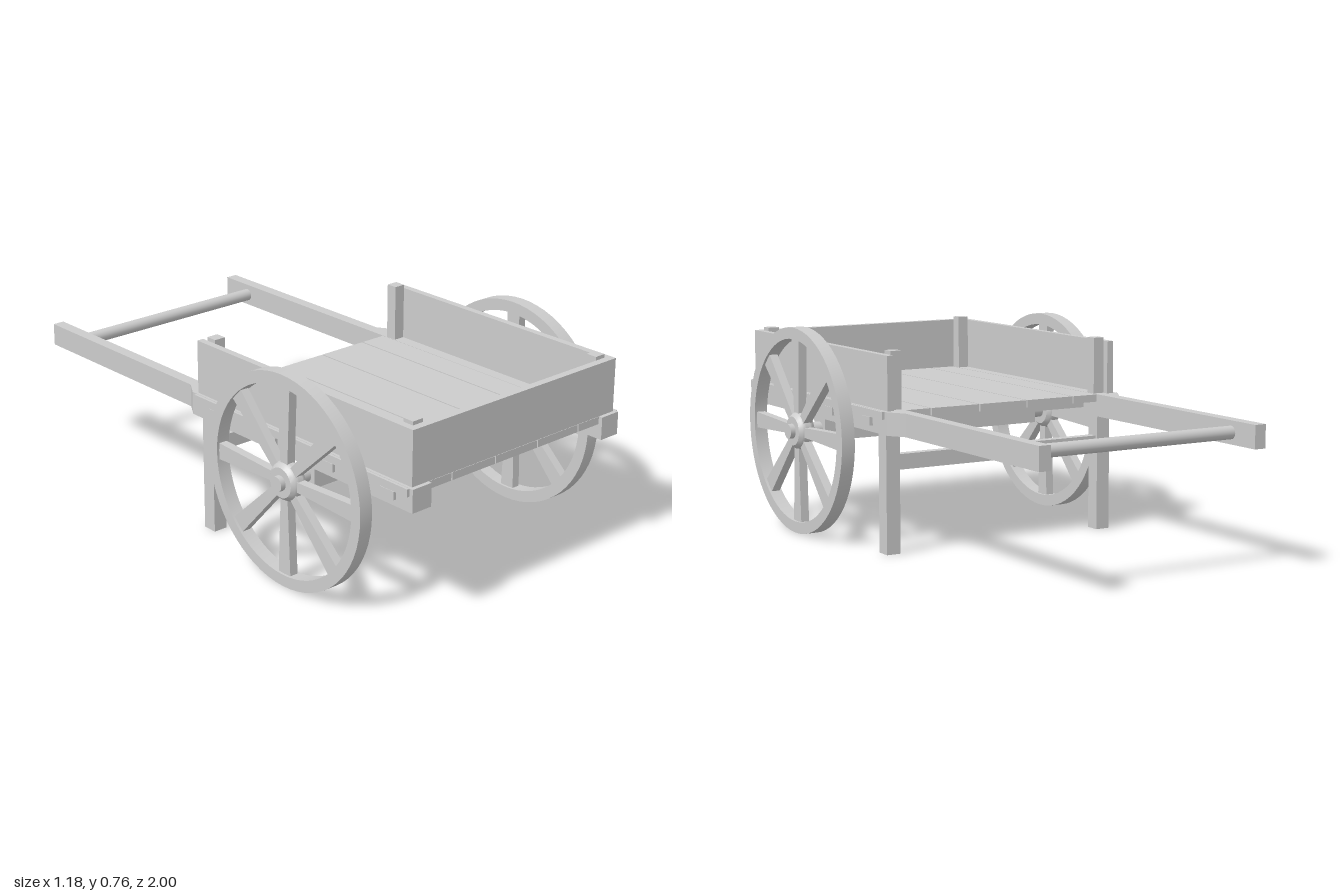
import * as THREE from 'three';
import { toCreasedNormals } from 'three/addons/utils/BufferGeometryUtils.js';

const material = new THREE.MeshStandardMaterial({ color: 0xcccccc });

function add(parent, name, geometry) {
  const mesh = new THREE.Mesh(geometry, material);
  mesh.name = name;
  parent.add(mesh);
  return mesh;
}

// Box given by its limits on each axis
function box(parent, name, [x0, x1], [y0, y1], [z0, z1]) {
  const mesh = add(parent, name, new THREE.BoxGeometry(Math.abs(x1 - x0), y1 - y0, z1 - z0));
  mesh.position.set((x0 + x1) / 2, (y0 + y1) / 2, (z0 + z1) / 2);
  return mesh;
}

// Round bar lying along x
function bar(parent, name, radius, length, y, z) {
  const geometry = new THREE.CylinderGeometry(radius, radius, length, 24).rotateZ(Math.PI / 2);
  add(parent, name, geometry).position.set(0, y, z);
}

const AXLE_Y = 0.38, AXLE_Z = 0.467;

// Spoked wheel, built around z and turned to roll around x
function makeWheel() {
  const wheel = new THREE.Group();
  wheel.name = 'wheel';

  const ring = new THREE.Shape().absarc(0, 0, 0.38, 0, Math.PI * 2);
  ring.holes.push(new THREE.Path().absarc(0, 0, 0.338, 0, Math.PI * 2, true));
  const rim = new THREE.ExtrudeGeometry(ring, { depth: 0.051, bevelEnabled: false, curveSegments: 32 });
  add(wheel, 'rim', toCreasedNormals(rim.translate(0, 0, -0.0255), 0.6));

  // barrel-shaped hub
  const profile = [[0, -0.032], [0.053, -0.032], [0.063, -0.022], [0.07, -0.01],
    [0.07, 0.01], [0.063, 0.022], [0.053, 0.032], [0, 0.032]].map(p => new THREE.Vector2(...p));
  const hub = new THREE.LatheGeometry(profile, 32).rotateX(Math.PI / 2);
  add(wheel, 'hub', toCreasedNormals(hub, 0.7));

  // spokes widen towards the rim
  const outline = new THREE.Shape([[-0.017, 0.05], [0.017, 0.05], [0.03, 0.342], [-0.03, 0.342]]
    .map(p => new THREE.Vector2(...p)));
  const spoke = new THREE.ExtrudeGeometry(outline, { depth: 0.032, bevelEnabled: false }).translate(0, 0, -0.016);
  for (let i = 0; i < 8; i++) add(wheel, 'spoke', spoke).rotation.z = i * Math.PI / 4;

  wheel.rotation.y = Math.PI / 2;
  return wheel;
}

// Side rail that narrows into a pulling handle
function railGeometry(side) {
  const plan = [[0.403, 1], [0.485, 1], [0.485, -0.1], [0.447, -0.16], [0.447, -1], [0.403, -1]];
  const shape = new THREE.Shape(plan.map(([x, z]) => new THREE.Vector2(side * x, -z)));
  return new THREE.ExtrudeGeometry(shape, { depth: 0.082, bevelEnabled: false })
    .rotateX(-Math.PI / 2).translate(0, 0.428, 0);
}

export function createModel() {
  const cart = new THREE.Group();
  cart.name = 'handcart';

  for (const s of [1, -1]) {
    add(cart, 'sideRail', railGeometry(s));
    box(cart, 'sideBoard', [s * 0.448, s * 0.474], [0.51, 0.703], [-0.082, 0.957]);
    box(cart, 'frontPost', [s * 0.405, s * 0.448], [0.5, 0.716], [0.915, 0.957]);
    box(cart, 'backPost', [s * 0.405, s * 0.448], [0.5, 0.716], [-0.058, -0.016]);
    box(cart, 'leg', [s * 0.417, s * 0.471], [0, 0.43], [-0.065, -0.01]);
    const wheel = makeWheel();
    wheel.position.set(s * 0.539, AXLE_Y, AXLE_Z);
    cart.add(wheel);
  }
  box(cart, 'frontBoard', [-0.474, 0.474], [0.51, 0.703], [0.957, 0.985]);

  // floor planks on cross members whose tenons pass through the rails
  for (let i = -2; i <= 2; i++) {
    box(cart, 'floorPlank', [i * 0.2 * 0.995 - 0.097, i * 0.2 * 0.995 + 0.097], [0.482, 0.509], [-0.079, 0.985]);
  }
  for (let i = 0; i < 4; i++) {
    const z = 0.037 + i * 0.286;
    box(cart, 'crossMember', [-0.497, 0.497], [0.452, 0.482], [z - 0.031, z + 0.031]);
  }

  // axle, leg stretcher and handle bar
  box(cart, 'axleBeam', [-0.46, 0.46], [0.34, 0.428], [AXLE_Z - 0.043, AXLE_Z + 0.043]);
  bar(cart, 'axle', 0.027, 1.18, AXLE_Y, AXLE_Z);
  box(cart, 'legStretcher', [-0.42, 0.42], [0.297, 0.352], [-0.055, -0.02]);
  bar(cart, 'handleBar', 0.023, 0.82, 0.469, -0.872);

  return cart;
}
